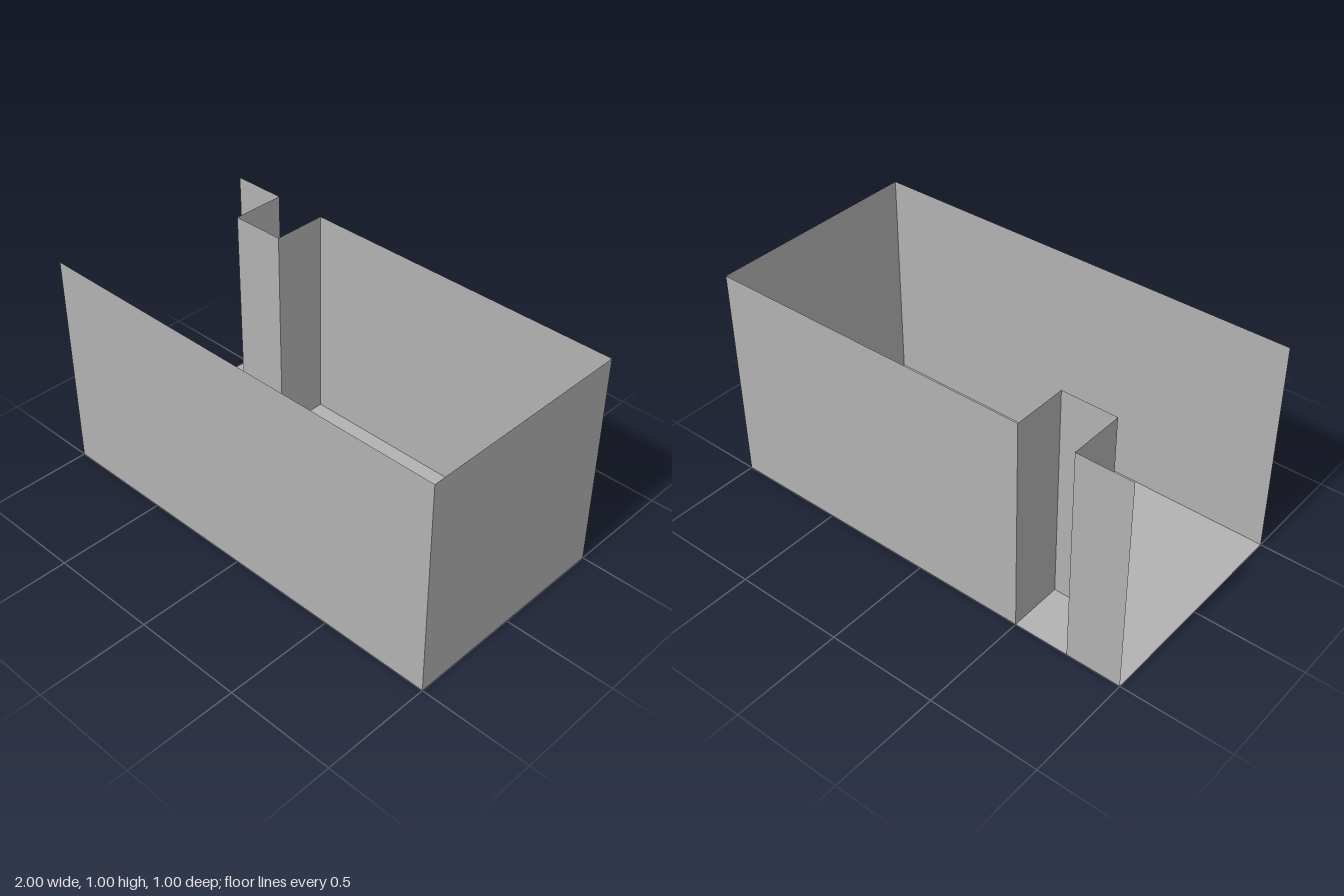
import * as THREE from 'three';

const HEIGHT = 1;

export function createModel() {
  const group = new THREE.Group();
  group.name = 'openRoom';

  const grey = new THREE.MeshStandardMaterial({ color: 0xb2b2b2, side: THREE.DoubleSide });
  grey.name = 'plain grey';

  // Floor sheet
  const floor = new THREE.Mesh(new THREE.PlaneGeometry(2, 1).rotateX(-Math.PI / 2), grey);
  floor.name = 'floor';
  group.add(floor);

  // Upright sheet between two plan points [x, z], facing outward
  const addWall = (name, [x1, z1], [x2, z2]) => {
    const dx = x2 - x1, dz = z2 - z1;
    const wall = new THREE.Mesh(new THREE.PlaneGeometry(Math.hypot(dx, dz), HEIGHT), grey);
    wall.name = name;
    wall.position.set((x1 + x2) / 2, HEIGHT / 2, (z1 + z2) / 2);
    wall.rotation.y = Math.atan2(-dz, dx);
    group.add(wall);
  };

  // Wall run in plan: front, left end, then the back with its recess; right end stays open
  const plan = [
    [-1, 0.5], [1, 0.5], [1, -0.5], [-0.5, -0.5],
    [-0.5, -0.25], [-0.75, -0.25], [-0.75, -0.5], [-1, -0.5],
  ];
  const names = [
    'frontWall', 'leftWall', 'backWall',
    'recessLeftSide', 'recessBack', 'recessRightSide', 'backWallEnd',
  ];
  names.forEach((name, i) => addWall(name, plan[i], plan[i + 1]));

  return group;
}
